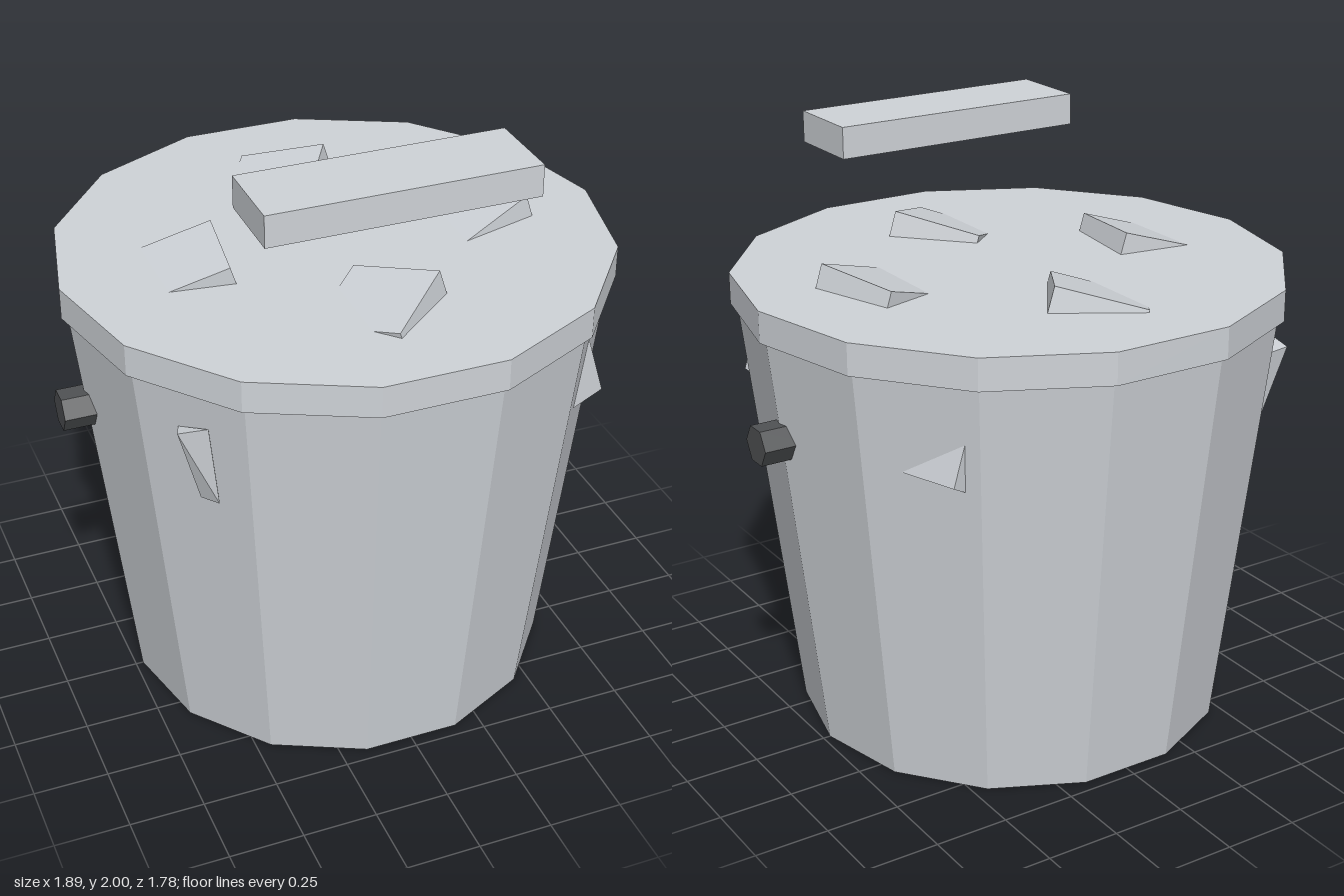
import * as THREE from 'three';
import { ConvexGeometry } from 'three/addons/geometries/ConvexGeometry.js';

function material(name, color) {
  const m = new THREE.MeshStandardMaterial({ color, flatShading: true });
  m.name = name;
  return m;
}

export function createModel() {
  const group = new THREE.Group();
  const metal = material('light grey metal', 0xcfd3d8);
  const dark = material('dark metal', 0x505254);

  function add(name, geometry, mat, x = 0, y = 0, z = 0) {
    const mesh = new THREE.Mesh(geometry, mat);
    mesh.name = name;
    mesh.position.set(x, y, z);
    group.add(mesh);
    return mesh;
  }

  // Tapered fourteen-sided bin, with a corner on the x axis
  const SIDES = 14;
  add('body', new THREE.CylinderGeometry(0.895, 0.725, 1.46, SIDES).rotateY(Math.PI / 2), metal, 0, 0.73, 0);
  add('lid', new THREE.CylinderGeometry(0.915, 0.915, 0.105, SIDES).rotateY(Math.PI / 2), metal, 0, 1.5025, 0);

  // Bar floating above the front of the lid
  add('lidHandle', new THREE.BoxGeometry(0.885, 0.105, 0.275), metal, 0, 1.9475, 0.4425);

  // Hexagonal stubs on both sides
  for (const side of [-1, 1]) {
    const stub = new THREE.CylinderGeometry(0.067, 0.067, 0.15, 6).rotateZ(Math.PI / 2);
    add(side > 0 ? 'leftHandle' : 'rightHandle', stub, dark, side * 0.87, 1.115, 0);
  }

  // Tilted blocks breaking through the lid: x, z, turn
  const blocks = [
    [-0.505, 0, -0.13],
    [0.49, 0, 0.3],
    [-0.01, -0.45, -0.57],
    [-0.01, 0.45, 0.72],
  ];
  for (const [x, z, turn] of blocks) {
    const block = new THREE.BoxGeometry(0.3, 0.2, 0.305).rotateY(turn).rotateZ(0.3);
    add('lidDent', block, metal, x, 1.481, z);
  }

  // Pointed dents on the wall: the tip, then the points where it meets the wall
  const dents = {
    frontLeftDent: [[0.705, 1.145, 0.57], [0.635, 1.365, 0.58], [0.585, 1.11, 0.595], [0.695, 1.14, 0.47]],
    frontRightDent: [[-0.72, 1.31, 0.55], [-0.635, 1.33, 0.59], [-0.605, 1.045, 0.58], [-0.645, 1.04, 0.52], [-0.70, 1.30, 0.495]],
    backRightDent: [[-0.685, 1.31, -0.605], [-0.696, 1.32, -0.511], [-0.608, 1.03, -0.559], [-0.581, 1.05, -0.593], [-0.608, 1.31, -0.619]],
    backLeftDent: [[0.61, 1.125, -0.64], [0.574, 1.26, -0.645], [0.693, 1.14, -0.475], [0.564, 1.10, -0.63]],
  };
  for (const [name, list] of Object.entries(dents)) {
    const points = list.map((p) => new THREE.Vector3(...p));
    const root = new THREE.Vector3();
    points.forEach((p) => root.addScaledVector(p, 1 / points.length));
    points.push(root.multiply(new THREE.Vector3(0.9, 1, 0.9)));
    add(name, new ConvexGeometry(points), metal);
  }

  return group;
}
